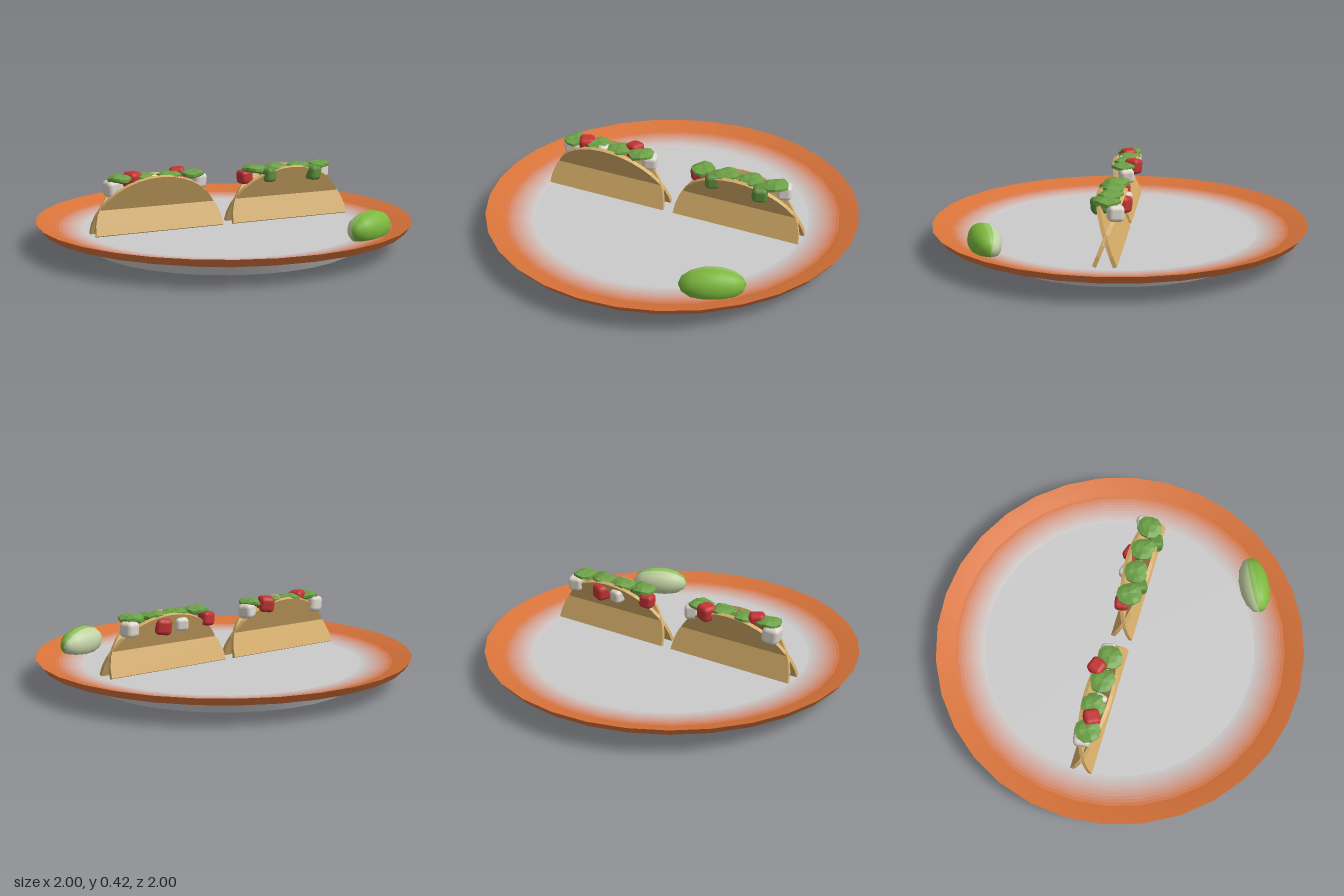
import * as THREE from 'three';
import { RoundedBoxGeometry } from 'three/addons/geometries/RoundedBoxGeometry.js';

const mat = (color, flatShading = false) => new THREE.MeshStandardMaterial({ color, flatShading });
const GREY = new THREE.Color(0xcccccc), ORANGE = new THREE.Color(0xd8733a);
const shellMat = mat(0xd4ac68, true), leafMat = mat(0x6ca046, true);
const cubeMats = { tomato: mat(0xc43434), onion: mat(0xded6cc), pepper: mat(0x5f8f3e) };

function add(parent, name, geometry, material) {
  const mesh = new THREE.Mesh(geometry, material);
  mesh.name = name;
  parent.add(mesh);
  return mesh;
}

// Plate: a turned profile, split into rings that fade from grey to orange
function makePlate() {
  const plate = new THREE.Group();
  plate.name = 'plate';
  const ring = (name, points, color) => add(plate, name,
    new THREE.LatheGeometry(points.map(p => new THREE.Vector2(p[0], p[1])), 32), mat(color));
  const fade = (name, a, b, colorA, colorB, steps) => {
    const at = t => [a[0] + (b[0] - a[0]) * t, a[1] + (b[1] - a[1]) * t];
    for (let i = 0; i < steps; i++) {
      ring(name, [at(i / steps), at((i + 1) / steps)], colorA.clone().lerp(colorB, (i + 0.5) / steps));
    }
  };
  ring('plateBase', [[0, 0], [0.72, 0]], GREY);
  ring('plateFoot', [[0.72, 0], [0.745, 0.045]], GREY);
  fade('plateUnderside', [0.745, 0.045], [0.97, 0.105], GREY, ORANGE, 9);
  ring('plateLip', [[0.97, 0.105], [1, 0.145]], ORANGE);
  ring('plateRim', [[1, 0.145], [0.95, 0.13], [0.9, 0.112]], ORANGE);
  fade('plateSlope', [0.9, 0.112], [0.74, 0.09], ORANGE, GREY, 9);
  ring('plateWell', [[0.74, 0.09], [0, 0.09]], GREY);
  return plate;
}

// Half-round shell sheet, its origin where the two sheets cross
function shellGeometry() {
  const shape = new THREE.Shape();
  shape.absellipse(0, 0, 0.355, 0.312, 0, Math.PI, false, 0);
  shape.closePath();
  const geometry = new THREE.ExtrudeGeometry(shape, { depth: 0.02, bevelEnabled: false, curveSegments: 9 });
  return geometry.translate(0, -0.135, -0.01);
}

// Flattened leaf with a slightly wavy edge
function leafGeometry() {
  const geometry = new THREE.SphereGeometry(1, 10, 5);
  const p = geometry.attributes.position;
  for (let i = 0; i < p.count; i++) {
    const x = p.getX(i), z = p.getZ(i), r = Math.hypot(x, z);
    const wave = r * Math.sin(3 * Math.atan2(z, x) + 0.5);
    p.setXYZ(i, x * 0.067, p.getY(i) * 0.022 + wave * 0.007, z * 0.072);
  }
  geometry.computeVertexNormals();
  return geometry;
}

// Filled shell; leaves are x positions, cubes are [kind, x, y, z, size]
function makeTaco(name, x, leaves, cubes) {
  const taco = new THREE.Group();
  taco.name = name;
  const shell = shellGeometry(), leaf = leafGeometry();
  for (const side of [-1, 1]) {
    const sheet = add(taco, 'shellSheet', shell, shellMat);
    sheet.position.set(x, 0.23, 0);
    sheet.rotation.x = side * 0.38;
  }
  leaves.forEach(([lx, lz], i) => {
    const mesh = add(taco, 'lettuceLeaf', leaf, leafMat);
    mesh.position.set(lx, 0.385, lz);
    mesh.rotation.y = i * 1.9;
  });
  cubes.forEach(([kind, cx, cy, cz, size], i) => {
    const mesh = add(taco, kind + 'Cube', new RoundedBoxGeometry(size, size, size, 2, size * 0.28), cubeMats[kind]);
    mesh.position.set(cx, cy, cz);
    mesh.rotation.set(0.1 * Math.sin(i * 2), 0.5 * Math.sin(i * 1.7 + 0.3), 0.12 * Math.cos(i * 2.3));
  });
  return taco;
}

// Lime wedge: an ellipsoid in lengthwise slices, peel in front and pale flesh behind
function makeLime() {
  const lime = new THREE.Group();
  lime.name = 'limeWedge';
  const peel = new THREE.Color(0x7cb83c), flesh = new THREE.Color(0xc6d6a8);
  const slices = 16, step = Math.PI * 2 / slices;
  for (let i = 0; i < slices; i++) {
    const geometry = new THREE.SphereGeometry(1, 1, 7, i * step, step);
    geometry.rotateZ(Math.PI / 2);
    // Direction of the slice around the long axis decides its colour
    const a = (i + 0.5) * step;
    const back = -Math.sin(a) * 0.9 + Math.cos(a) * 0.15;
    const t = THREE.MathUtils.smoothstep(back, -0.2, 0.55);
    add(lime, 'limeSlice', geometry, mat(peel.clone().lerp(flesh, t)));
  }
  lime.scale.set(0.163, 0.086, 0.082);
  lime.rotation.y = 0.43;
  lime.position.set(0.517, 0.15, 0.625);
  return lime;
}

export function createModel() {
  const model = new THREE.Group();
  model.name = 'tacoPlate';
  model.add(makePlate());
  model.add(makeTaco('rightTaco', -0.385,
    [[-0.59, 0], [-0.455, -0.01], [-0.32, 0], [-0.185, 0]],
    [['onion', -0.62, 0.335, -0.02, 0.09], ['tomato', -0.52, 0.375, 0, 0.085],
      ['onion', -0.42, 0.36, 0.01, 0.075], ['tomato', -0.25, 0.375, -0.05, 0.085],
      ['onion', -0.145, 0.345, -0.02, 0.08]]));
  model.add(makeTaco('leftTaco', 0.385,
    [[0.18, 0], [0.315, 0], [0.45, 0], [0.585, 0]],
    [['tomato', 0.14, 0.34, -0.03, 0.075], ['pepper', 0.25, 0.355, 0.035, 0.08],
      ['onion', 0.32, 0.335, -0.055, 0.07], ['tomato', 0.43, 0.335, -0.055, 0.085],
      ['pepper', 0.52, 0.35, 0.05, 0.08], ['onion', 0.62, 0.34, -0.04, 0.08]]));
  model.add(makeLime());
  return model;
}
